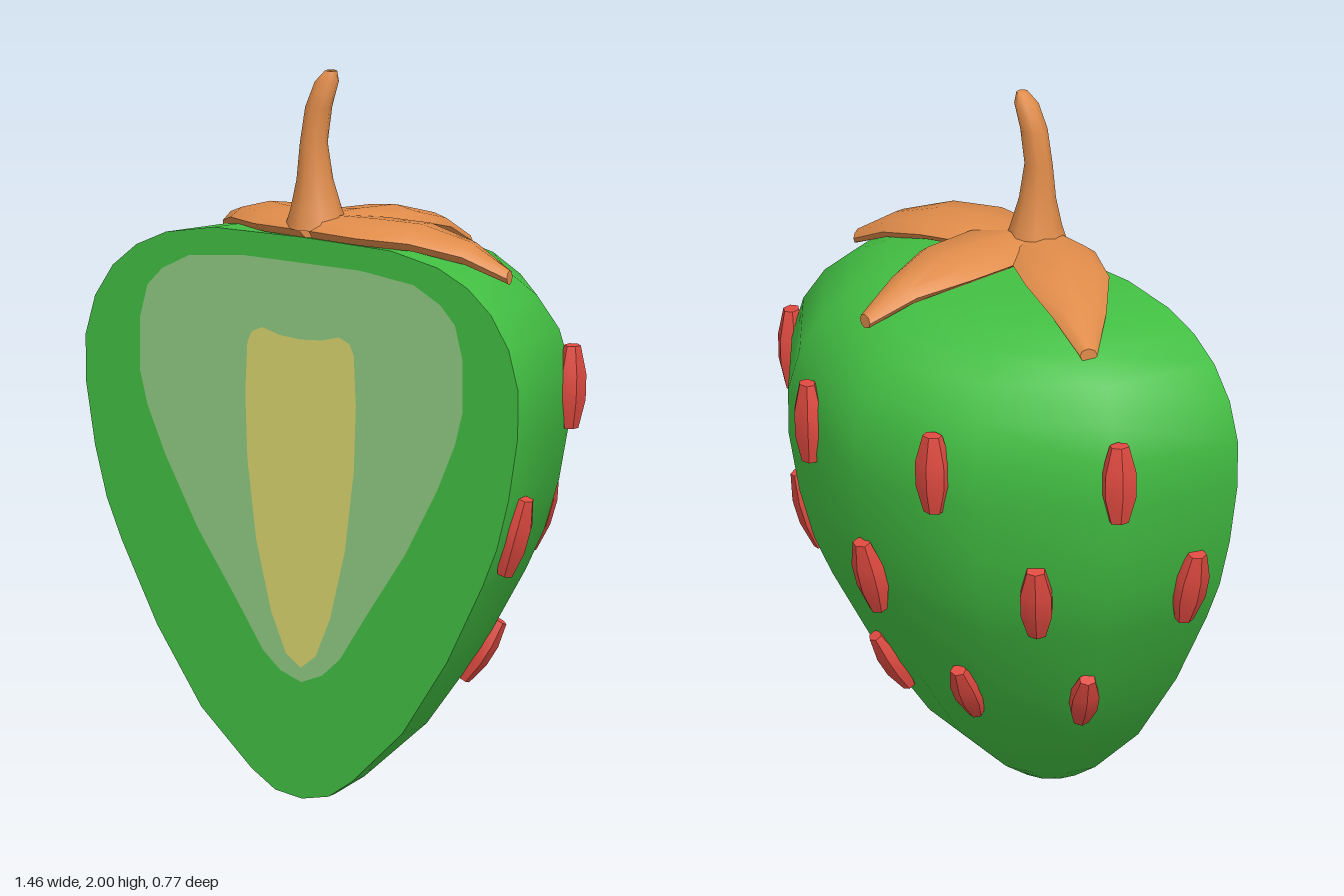
import * as THREE from 'three';
import { toCreasedNormals } from 'three/addons/utils/BufferGeometryUtils.js';

const CUT_Z = 0.34; // plane of the sliced face, which also holds the fruit axis

const material = (name, color) => {
  const m = new THREE.MeshStandardMaterial({ color });
  m.name = name;
  return m;
};

// Skin through a list of closed rings, capped at both ends
function loft(rings, crease) {
  const n = rings[0].length, last = rings.length - 1, index = [];
  for (let i = 0; i < last; i++) {
    for (let j = 0; j < n; j++) {
      const a = i * n + j, b = i * n + (j + 1) % n;
      index.push(a, b, a + n, b, b + n, a + n);
    }
  }
  for (let j = 1; j < n - 1; j++) {
    index.push(0, j + 1, j, last * n, last * n + j, last * n + j + 1);
  }
  const geo = new THREE.BufferGeometry();
  geo.setAttribute('position', new THREE.Float32BufferAttribute(rings.flat(2), 3));
  geo.setIndex(index);
  return toCreasedNormals(geo, crease);
}

// Flat shape mirrored about x = 0, from its right half listed bottom to top
function mirroredFace(half) {
  const left = half.filter(p => p[0] > 0).reverse().map(([x, y]) => [-x, y]);
  return new THREE.ShapeGeometry(
    new THREE.Shape([...half, ...left].map(([x, y]) => new THREE.Vector2(x, y))));
}

// Leaf from stations [x, z, half width], drooping toward its tip
function leafGeometry(stations) {
  const heights = [1.57, 1.57, 1.562, 1.525, 1.465];
  const thick = [0.034, 0.036, 0.036, 0.032, 0.02];
  const rings = stations.map(([x, z, w], i) => {
    const p = stations[Math.max(i - 1, 0)], q = stations[Math.min(i + 1, stations.length - 1)];
    const len = Math.hypot(q[0] - p[0], q[1] - p[1]);
    const sx = (q[1] - p[1]) / len, sz = -(q[0] - p[0]) / len;
    return Array.from({ length: 8 }, (_, j) => {
      const a = j * Math.PI / 4, c = Math.cos(a) * w;
      return [x + sx * c, heights[i] + Math.sin(a) * thick[i], z + sz * c];
    });
  });
  return loft(rings, 0.9);
}

export function createModel() {
  const group = new THREE.Group();
  const skin = material('green skin', 0x42be42);
  const flesh = material('pale green flesh', 0x90cc82);
  const core = material('yellow core', 0xdcd66e);
  const leafMat = material('orange leaf', 0xe08c4a);
  const seedMat = material('red seed', 0xdf4a40);

  const add = (name, geo, mat, parent = group) => {
    const mesh = new THREE.Mesh(geo, mat);
    mesh.name = name;
    parent.add(mesh);
    return mesh;
  };

  // Half fruit: half a twelve-sided lathe closed by the cut face
  const profile = [[0, 0.005], [0.09, 0.02], [0.17, 0.07], [0.34, 0.22], [0.49, 0.43],
    [0.61, 0.65], [0.66, 0.76], [0.7, 0.9], [0.73, 1.07], [0.732, 1.2], [0.7, 1.31],
    [0.64, 1.4], [0.56, 1.465], [0.46, 1.51], [0.3, 1.54], [0, 1.545]];
  const body = new THREE.LatheGeometry(
    profile.map(([r, y]) => new THREE.Vector2(r, y)), 6, Math.PI / 2, Math.PI);
  add('fruitBody', body, skin).position.z = CUT_Z;
  add('cutFace', mirroredFace(profile), skin).position.z = CUT_Z;

  // Flesh and core inlays on the cut face
  add('flesh', mirroredFace([[0, 0.325], [0.07, 0.35], [0.13, 0.4], [0.22, 0.53],
    [0.35, 0.71], [0.46, 0.9], [0.52, 1.03], [0.545, 1.12], [0.545, 1.27], [0.52, 1.36],
    [0.47, 1.41], [0.38, 1.455], [0.2, 1.475], [0, 1.475]]), flesh).position.z = CUT_Z + 0.003;
  add('core', mirroredFace([[0, 0.365], [0.05, 0.4], [0.1, 0.51], [0.15, 0.7], [0.18, 0.92],
    [0.187, 1.1], [0.18, 1.24], [0.165, 1.27], [0.13, 1.285], [0.07, 1.27], [0, 1.265]]),
    core).position.z = CUT_Z + 0.006;

  // Seeds in three rows, tilted to follow the skin
  const seedGeo = new THREE.LatheGeometry(
    [[0, -0.113], [0.028, -0.113], [0.05, -0.035], [0.05, 0.035], [0.028, 0.113], [0, 0.113]]
      .map(([r, y]) => new THREE.Vector2(r, y)), 6);
  const seedShape = toCreasedNormals(seedGeo, 0.5);
  const seeds = new THREE.Group();
  seeds.name = 'seeds';
  group.add(seeds);
  const rows = [
    { y: 1.155, r: 0.73, tilt: 0.03, size: 1, angles: [29, 70, 110, 151] },
    { y: 0.78, r: 0.667, tilt: 0.29, size: 0.98, angles: [8.5, 47, 90, 133, 171.5] },
    { y: 0.42, r: 0.485, tilt: 0.56, size: 0.84, angles: [33, 72, 108, 147] },
  ];
  for (const { y, r, tilt, size, angles } of rows) {
    for (const deg of angles) {
      const a = THREE.MathUtils.degToRad(deg);
      const off = THREE.MathUtils.degToRad(deg % 30 - 15);
      const dist = r * Math.cos(Math.PI / 12) / Math.cos(off) + 0.008;
      const seed = add('seed', seedShape, seedMat, seeds);
      seed.position.set(Math.cos(a) * dist, y, CUT_Z - Math.sin(a) * dist);
      seed.rotation.order = 'YXZ';
      seed.rotation.set(tilt, a + Math.PI / 2, 0);
      seed.scale.set(size, size, size * 0.8);
    }
  }

  // Three drooping leaves
  const leaves = {
    rightLeaf: [[0.03, 0.29, 0.08], [-0.1, 0.252, 0.12], [-0.225, 0.185, 0.117],
      [-0.355, 0.107, 0.075], [-0.473, 0.03, 0.024]],
    backLeaf: [[0.035, 0.31, 0.08], [0.06, 0.165, 0.125], [0.073, 0.02, 0.122],
      [0.095, -0.125, 0.067], [0.112, -0.248, 0.024]],
    leftLeaf: [[0.03, 0.288, 0.08], [0.185, 0.264, 0.122], [0.315, 0.22, 0.115],
      [0.445, 0.175, 0.07], [0.552, 0.14, 0.024]],
  };
  for (const [name, stations] of Object.entries(leaves)) {
    add(name, leafGeometry(stations), leafMat);
  }

  // Flared stem bending to its left: [x, y, z, radius]
  const stem = [[0.015, 1.57, 0.295, 0.086], [0.014, 1.62, 0.295, 0.07],
    [0.012, 1.7, 0.298, 0.05], [0.01, 1.8, 0.3, 0.038], [0.023, 1.9, 0.295, 0.037],
    [0.045, 1.97, 0.288, 0.033], [0.056, 2.0, 0.284, 0.017]];
  add('stem', loft(stem.map(([x, y, z, r]) => Array.from({ length: 8 }, (_, j) => {
    const a = j * Math.PI / 4;
    return [x + Math.cos(a) * r, y, z - Math.sin(a) * r];
  })), 1.1), leafMat);

  return group;
}
